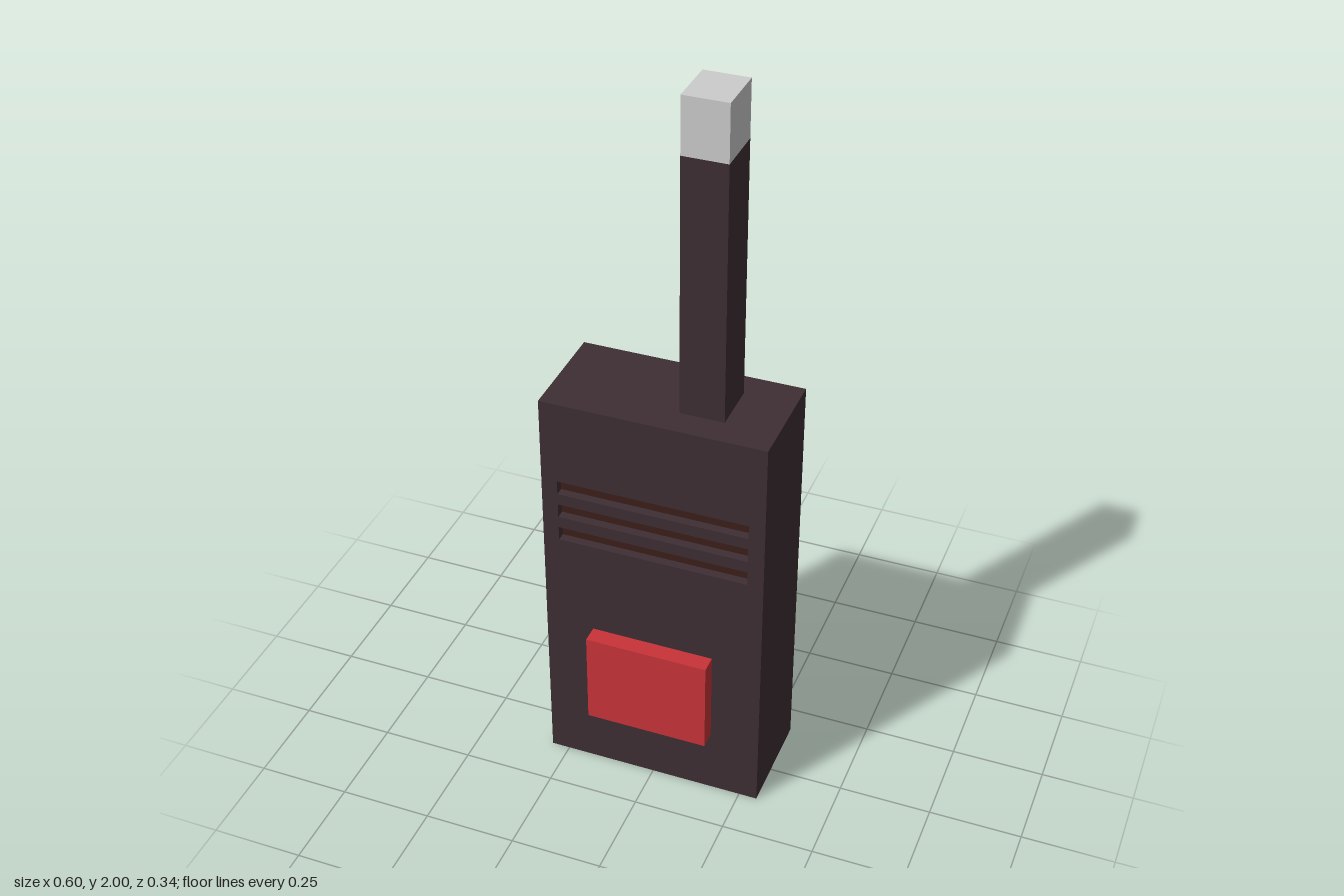
import * as THREE from 'three';

const mat = (color) => new THREE.MeshStandardMaterial({ color, flatShading: true });

export function createModel() {
  const model = new THREE.Group();
  const dark = mat(0x3d2e33), slotDark = mat(0x3c1e1b), red = mat(0xc83338), grey = mat(0xcccccc);

  const add = (name, geometry, material) => {
    const mesh = new THREE.Mesh(geometry, material);
    mesh.name = name;
    model.add(mesh);
    return mesh;
  };
  // Box given by its minimum and maximum corners
  const box = (name, material, [x0, y0, z0], [x1, y1, z1]) =>
    add(name, new THREE.BoxGeometry(x1 - x0, y1 - y0, z1 - z0), material)
      .position.set((x0 + x1) / 2, (y0 + y1) / 2, (z0 + z1) / 2);
  const rectangle = (Type, x0, y0, x1, y1) =>
    new Type([[x0, y0], [x1, y0], [x1, y1], [x0, y1]].map(([x, y]) => new THREE.Vector2(x, y)));

  // Body: a solid back and a front cover with three speaker slots
  const front = 0.12, slotDepth = 0.025;
  const slotX = 0.257, slotHeight = 0.04;
  box('body', dark, [-0.3, 0, -0.17], [0.3, 1.15, front - slotDepth]);
  const cover = rectangle(THREE.Shape, -0.3, 0, 0.3, 1.15);
  [0.75, 0.823, 0.895].forEach((y, i) => {
    cover.holes.push(rectangle(THREE.Path, -slotX, y - slotHeight / 2, slotX, y + slotHeight / 2));
    add(`speakerSlot${i + 1}`, new THREE.PlaneGeometry(2 * slotX, slotHeight), slotDark)
      .position.set(0, y, front - slotDepth + 0.001);
  });
  add('frontCover', new THREE.ExtrudeGeometry(cover, { depth: slotDepth, bevelEnabled: false }), dark)
    .position.z = front - slotDepth;

  // Raised button on the front
  box('button', red, [-0.168, 0.19, front], [0.166, 0.457, 0.168]);

  // Antenna with a light tip
  box('antenna', dark, [0.044, 1.15, -0.096], [0.162, 1.85, 0.043]);
  box('antennaTip', grey, [0.044, 1.85, -0.096], [0.162, 2, 0.043]);

  return model;
}
